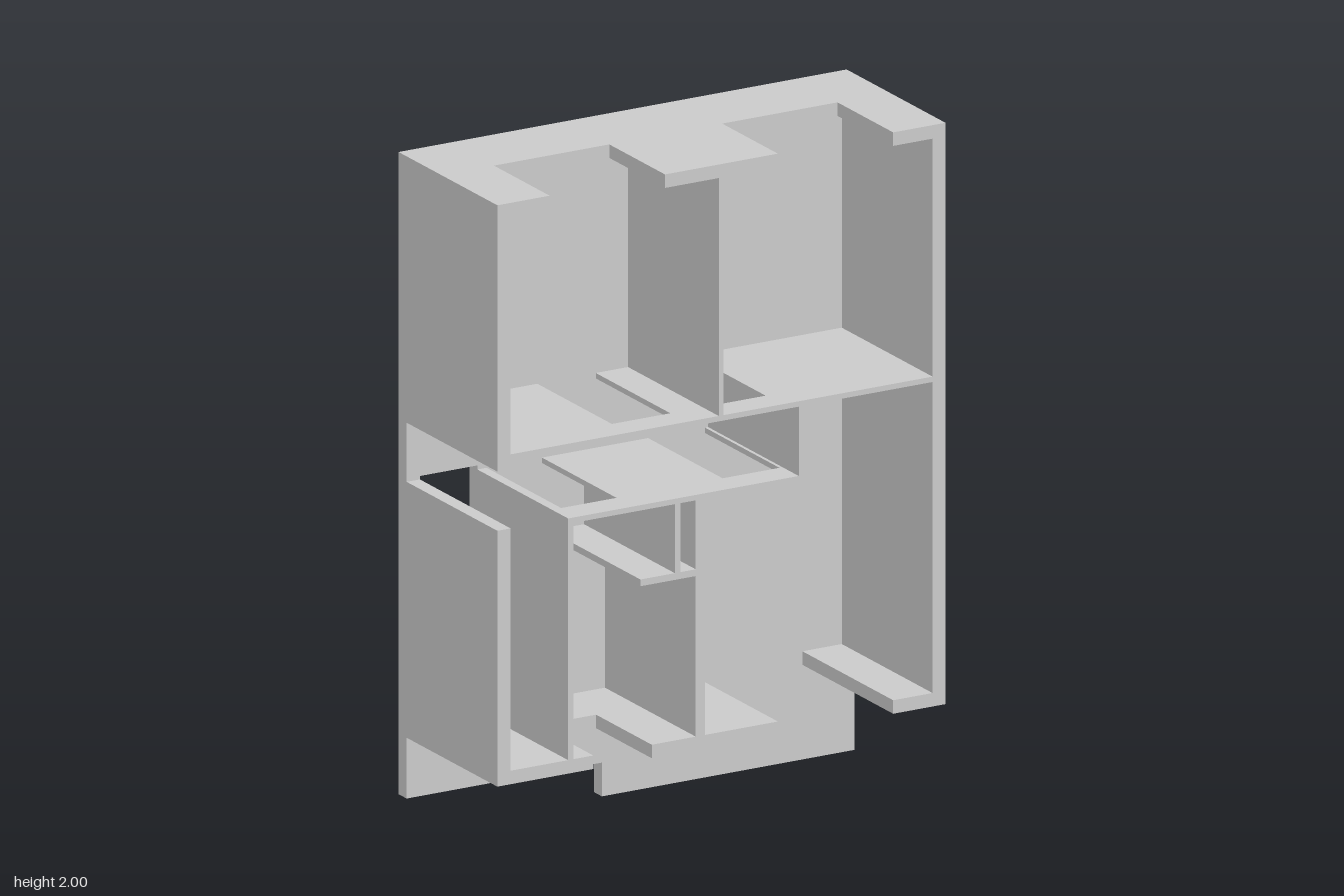
import * as THREE from 'three';

const BACK = -0.275, FLOOR = -0.23, TOP = 0.275; // slab back, floor level, wall top (along z)
const SILL = -0.035, LINTEL = 0.185;             // window sill and door head levels

export function createModel() {
  const model = new THREE.Group();
  model.name = 'floorPlanModel';
  const material = new THREE.MeshStandardMaterial({ color: 0xcccccc, flatShading: true });

  const block = (parent, name, x0, x1, y0, y1, z0 = FLOOR, z1 = TOP) => {
    if (x1 - x0 < 1e-4 || z1 - z0 < 1e-4) return;
    const mesh = new THREE.Mesh(new THREE.BoxGeometry(x1 - x0, y1 - y0, z1 - z0), material);
    mesh.position.set((x0 + x1) / 2, (y0 + y1) / 2, (z0 + z1) / 2);
    mesh.name = name;
    parent.add(mesh);
  };

  // Wall running along x, interrupted by openings [xStart, xEnd, sill, head]
  const wallWithOpenings = (name, x0, x1, y0, y1, openings) => {
    const wall = new THREE.Group();
    wall.name = name;
    let x = x0;
    for (const [a, b, sill, head] of openings) {
      block(wall, 'wallSection', x, a, y0, y1);
      block(wall, 'sill', a, b, y0, y1, FLOOR, sill);
      block(wall, 'lintel', a, b, y0, y1, head, TOP);
      x = b;
    }
    block(wall, 'wallSection', x, x1, y0, y1);
    model.add(wall);
  };

  // Floor slab with stairwell and duct holes
  const outline = new THREE.Shape([
    [-0.73, 0.1], [-0.095, 0.1], [-0.095, 0], [0.727, 0], [0.727, 2], [-0.73, 2],
  ].map(([x, y]) => new THREE.Vector2(x, y)));
  for (const [x0, x1, y0, y1] of [[-0.687, -0.5, 0.32, 1.047], [-0.135, -0.085, 0.815, 1.02]]) {
    outline.holes.push(new THREE.Path([
      new THREE.Vector2(x0, y0), new THREE.Vector2(x0, y1),
      new THREE.Vector2(x1, y1), new THREE.Vector2(x1, y0),
    ]));
  }
  const slab = new THREE.Mesh(
    new THREE.ExtrudeGeometry(outline, { depth: FLOOR - BACK, bevelEnabled: false }), material);
  slab.position.z = BACK;
  slab.name = 'floorSlab';
  model.add(slab);

  // Outer walls
  wallWithOpenings('windowWall', -0.73, 0.727, 1.96, 2, [
    [-0.56, -0.185, SILL, TOP], [0.182, 0.557, SILL, TOP],
  ]);
  wallWithOpenings('balconyWall', -0.73, 0.727, 0.28, 0.32, [
    [-0.418, -0.228, SILL, TOP], [0.182, 0.557, FLOOR, TOP],
  ]);
  block(model, 'rightOuterWallUpper', -0.73, -0.687, 1.212, 1.96);
  block(model, 'rightOuterWallLower', -0.73, -0.687, 0.32, 1.037);
  block(model, 'leftOuterWall', 0.685, 0.727, 0.32, 1.96);

  // Corridor walls with doorways
  wallWithOpenings('bedroomCorridorWall', -0.687, 0.685, 1.24, 1.256, [
    [-0.305, -0.115, FLOOR, LINTEL], [0.015, 0.195, FLOOR, LINTEL],
  ]);
  wallWithOpenings('livingCorridorWall', -0.5, 0.27, 1.019, 1.035, [
    [-0.47, -0.29, FLOOR, LINTEL], [0.055, 0.24, FLOOR, LINTEL],
  ]);
  block(model, 'corridorEndWall', 0.25, 0.27, 1.035, 1.24);

  // Room partitions
  block(model, 'bedroomPartition', -0.01, 0.005, 1.256, 1.96);
  block(model, 'stairwellPartition', -0.5, -0.482, 0.32, 1.019);
  block(model, 'livingPartition', -0.085, -0.055, 0.32, 1.019);
  block(model, 'ductSideWall', -0.153, -0.135, 0.815, 1.019);
  block(model, 'ductEndWall', -0.265, -0.085, 0.795, 0.815);

  return model;
}
